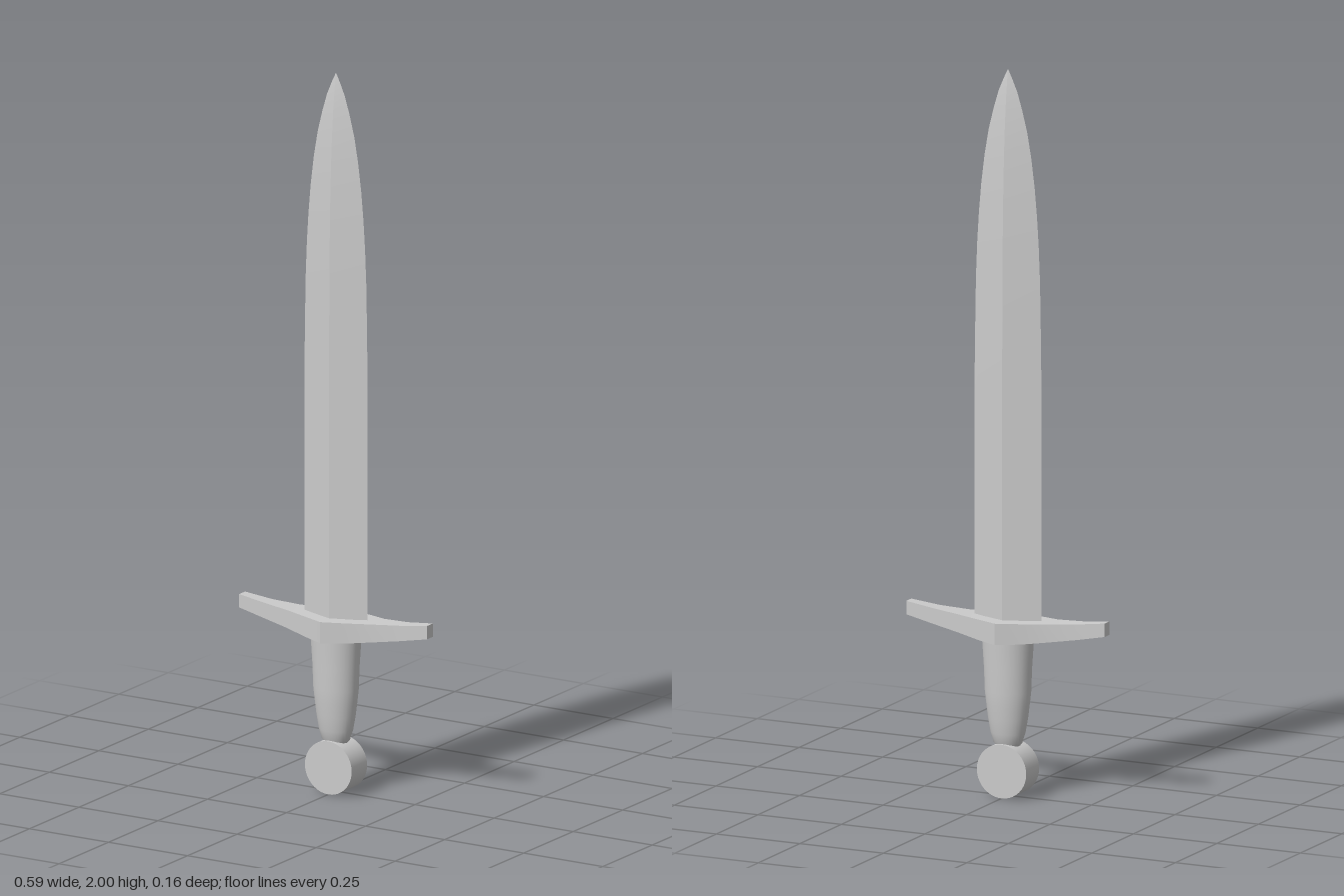
import * as THREE from 'three';
import { toCreasedNormals } from 'three/addons/utils/BufferGeometryUtils.js';

const material = new THREE.MeshStandardMaterial({ color: 0xcccccc });

// Skin a row of four-cornered cross-sections and cap both ends.
function loft(rings) {
  const index = [];
  for (let i = 0; i < rings.length - 1; i++) {
    for (let k = 0; k < 4; k++) {
      const a = i * 4 + k, b = i * 4 + (k + 1) % 4;
      index.push(a, b, b + 4, a, b + 4, a + 4);
    }
  }
  const e = (rings.length - 1) * 4;
  index.push(0, 2, 1, 0, 3, 2, e, e + 1, e + 2, e, e + 2, e + 3);
  const geometry = new THREE.BufferGeometry();
  geometry.setAttribute('position', new THREE.Float32BufferAttribute(rings.flat(2), 3));
  geometry.setIndex(index);
  return toCreasedNormals(geometry, 0.5);
}

export function createModel() {
  const group = new THREE.Group();
  const add = (name, geometry) => {
    const mesh = new THREE.Mesh(geometry, material);
    mesh.name = name;
    group.add(mesh);
    return mesh;
  };

  // Blade: diamond section, [height, half width], narrowing to a point
  const bladeProfile = [
    [0.47, 0.1], [1.15, 0.1], [1.3, 0.098], [1.42, 0.096], [1.52, 0.092], [1.6, 0.087],
    [1.68, 0.08], [1.76, 0.07], [1.83, 0.058], [1.89, 0.043], [1.94, 0.028], [1.975, 0.013], [2, 0.001],
  ];
  add('blade', loft(bladeProfile.map(([y, w]) => {
    const t = w * 0.35;
    return [[w, y, 0], [0, y, -t], [-w, y, 0], [0, y, t]];
  })));

  // Crossguard: [x, half depth, bottom, top], mirrored, tips swept upward
  const half = [
    [0, 0.08, 0.431, 0.49], [0.065, 0.055, 0.434, 0.49], [0.133, 0.033, 0.442, 0.492],
    [0.215, 0.021, 0.455, 0.498], [0.297, 0.015, 0.471, 0.508],
  ];
  const mirrored = half.slice(1).reverse().map(([x, ...rest]) => [-x, ...rest]);
  add('crossguard', loft([...mirrored, ...half].map(([x, d, y0, y1]) =>
    [[x, y0, -d], [x, y1, -d], [x, y1, d], [x, y0, d]])));

  // Grip: oval handle tapering to a rounded lower end
  const gripProfile = [
    [0, 0.133], [0.03, 0.135], [0.04, 0.147], [0.049, 0.175], [0.056, 0.215],
    [0.061, 0.255], [0.065, 0.29], [0.067, 0.35], [0.071, 0.41], [0.073, 0.45],
  ].map(([r, y]) => new THREE.Vector2(r, y));
  add('grip', new THREE.LatheGeometry(gripProfile, 32)).scale.z = 0.79;

  // Pommel: round disc facing front and back
  const pommel = add('pommel', new THREE.CylinderGeometry(0.074, 0.074, 0.078, 40));
  pommel.rotation.x = Math.PI / 2;
  pommel.position.y = 0.074;

  return group;
}
